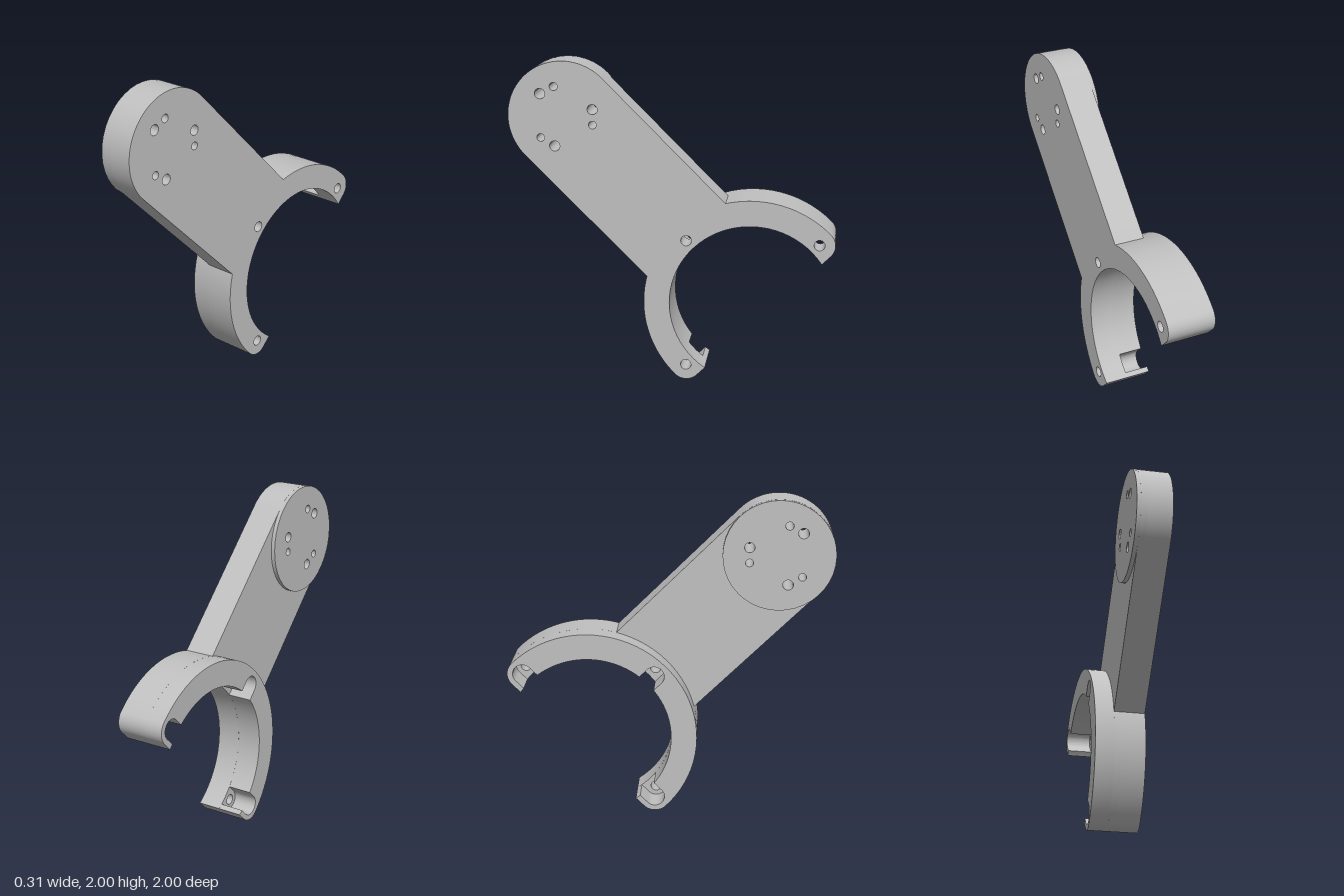
import * as THREE from 'three';
import { toCreasedNormals } from 'three/addons/utils/BufferGeometryUtils.js';

const rad = (deg) => (deg * Math.PI) / 180;

// Clamp ring and arm dimensions; profiles are drawn in (-z, y) and extruded along x
const RING = { x: 0.497, y: 0.503, outer: 0.671, inner: 0.511, bolt: 0.575 };
const ARM = { x: -0.659, y: 1.659, r: 0.341 };
const TIP = 0.096;
const SLOT = 0.062;
const BOLT_ANGLES = [225, 135, 45];
const ARM_HOLES = [
  [-0.8, 1.8, 0.032], [-0.715, 1.845, 0.025], [-0.48, 1.71, 0.031],
  [-0.48, 1.615, 0.024], [-0.8, 1.53, 0.024], [-0.715, 1.48, 0.032],
];

const onRing = (deg, r) => [RING.x + r * Math.cos(rad(deg)), RING.y + r * Math.sin(rad(deg))];
const arc = (s, [x, y], r, from, to, clockwise = false) =>
  s.absarc(x, y, r, rad(from), rad(to), clockwise);

function addHoles(shape, holes) {
  for (const [x, y, r] of holes) {
    const hole = new THREE.Path();
    hole.absarc(x, y, r, 0, Math.PI * 2, true);
    shape.holes.push(hole);
  }
  return shape;
}

// C-shaped outline, optionally with the arm and with bolt slots open to the bore
function outline(withArm, withSlots) {
  const s = new THREE.Shape();
  const c = [RING.x, RING.y];
  const half = (w, r) => THREE.MathUtils.radToDeg(Math.asin(w / r));
  if (withArm) {
    const a = half(ARM.r, RING.outer);
    arc(s, c, RING.outer, 45, 135 - a);
    arc(s, [ARM.x, ARM.y], ARM.r, 45, 225);
    arc(s, c, RING.outer, 135 + a, 225);
  } else {
    arc(s, c, RING.outer, 45, 225);
  }
  // rounded lower tip
  arc(s, onRing(225, RING.bolt), TIP, 225, 315);
  // bore, followed back to the upper tip
  const e = half(TIP, RING.inner);
  let from = 225 + e;
  if (withSlots) {
    const b = half(SLOT, RING.inner);
    for (const t of BOLT_ANGLES) {
      arc(s, c, RING.inner, from, t + b, true);
      arc(s, onRing(t, RING.bolt), SLOT, t + 90, t - 90, true);
      from = t - b;
    }
  }
  arc(s, c, RING.inner, from, 45 - e, true);
  // rounded upper tip
  arc(s, onRing(45, RING.bolt), TIP, -45, 45);
  return s;
}

export function createModel() {
  const group = new THREE.Group();
  const material = new THREE.MeshStandardMaterial({ color: 0xc0c0c0 });
  material.name = 'plain grey';

  const addPart = (name, shape, x0, x1) => {
    const raw = new THREE.ExtrudeGeometry(shape, { depth: x1 - x0, bevelEnabled: false, curveSegments: 20 });
    raw.rotateY(Math.PI / 2).translate(x0, 0, 0);
    const mesh = new THREE.Mesh(toCreasedNormals(raw, 0.5), material);
    mesh.name = name;
    group.add(mesh);
  };

  // Face plate: arm and ring with all through holes
  const boltHoles = BOLT_ANGLES.map((t) => [...onRing(t, RING.bolt), 0.033]);
  addPart('facePlate', addHoles(outline(true, false), [...ARM_HOLES, ...boltHoles]), 0, 0.15);

  // Rest of the arm's thickness, where the bolt slots begin
  addPart('slottedPlate', addHoles(outline(true, true), ARM_HOLES), -0.04, 0);

  // Deep part of the clamp ring
  addPart('clampRing', outline(false, true), -0.155, -0.04);

  // Raised mounting pad at the arm's end
  const pad = new THREE.Shape();
  pad.absarc(ARM.x, ARM.y, ARM.r, 0, Math.PI * 2, false);
  addPart('mountingPad', addHoles(pad, ARM_HOLES), -0.065, -0.04);

  return group;
}
